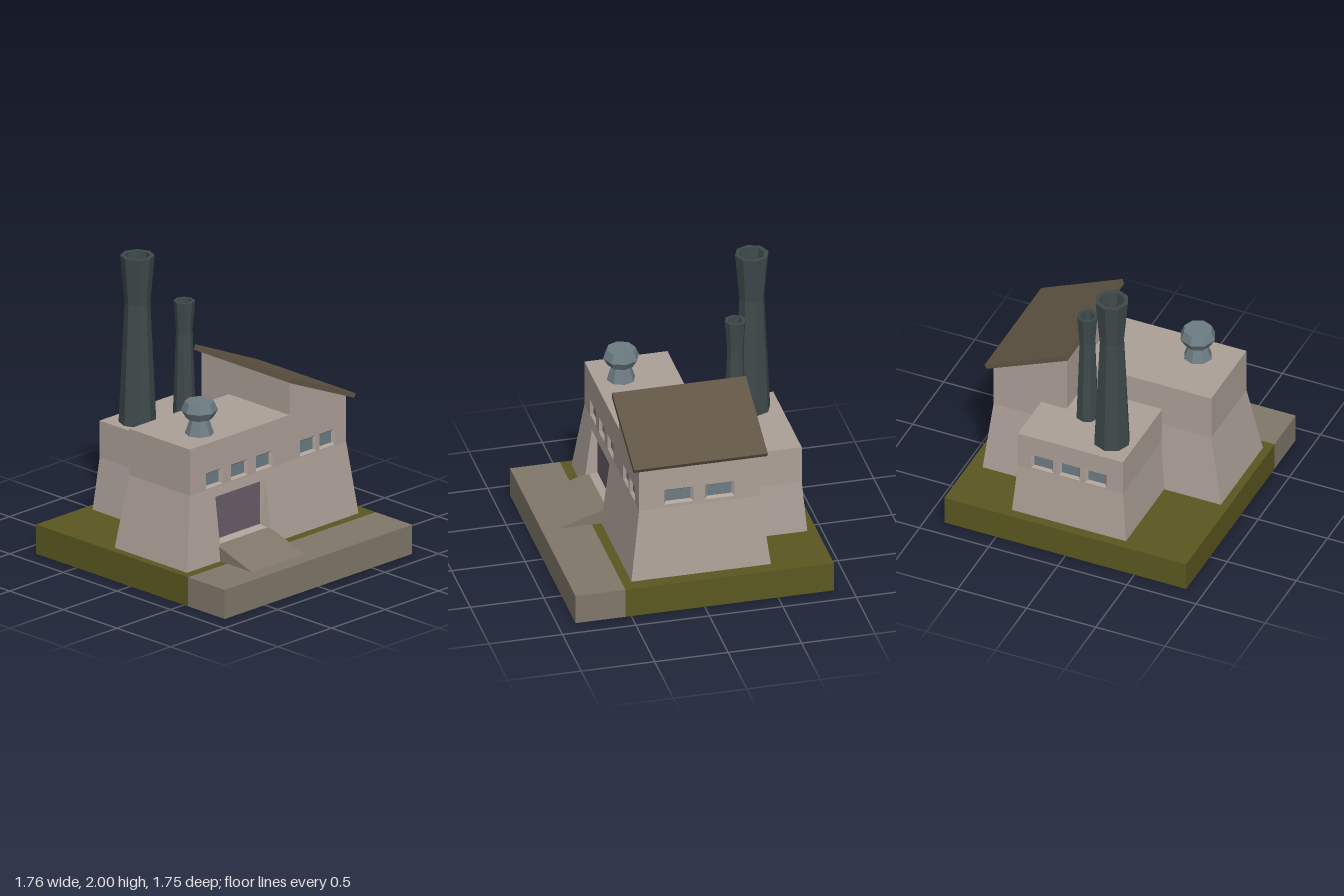
import * as THREE from 'three';

const mat = (name, color, side = THREE.FrontSide) => {
  const m = new THREE.MeshStandardMaterial({ color, side, flatShading: true });
  m.name = name;
  return m;
};

export function createModel() {
  const D = THREE.DoubleSide;
  const grass = mat('grass', 0x5b5821);
  const paving = mat('paving', 0x81786a);
  const plaster = mat('plaster', 0xada198, D);
  const roofing = mat('roofing', 0x615544);
  const iron = mat('iron', 0x3e4a4b, D);
  const steelBlue = mat('steel blue', 0x6d7d83, D);
  const doorPaint = mat('door purple', 0x695e69, D);

  const group = new THREE.Group();
  group.name = 'factory';
  const add = (name, geo, material) => {
    const m = new THREE.Mesh(geo, material);
    m.name = name;
    group.add(m);
    return m;
  };

  // Flat four-sided faces, each given as four corners
  const faces = (name, list, material) => {
    const pos = [];
    for (const [a, b, c, d] of list) pos.push(...a, ...b, ...c, ...a, ...c, ...d);
    const g = new THREE.BufferGeometry();
    g.setAttribute('position', new THREE.Float32BufferAttribute(pos, 3));
    g.computeVertexNormals();
    return add(name, g, material);
  };

  const corners = ([u0, u1, v0, v1]) => [[u0, v0], [u1, v0], [u1, v1], [u0, v1]];

  // Wall panel drawn in (u, height) with rectangular openings; place() puts it in space
  const panel = (name, outline, openings, place) => {
    const shape = new THREE.Shape(outline.map(p => new THREE.Vector2(...p)));
    for (const o of openings)
      shape.holes.push(new THREE.Path(corners(o).reverse().map(p => new THREE.Vector2(...p))));
    const g = new THREE.ShapeGeometry(shape);
    const p = g.attributes.position;
    for (let i = 0; i < p.count; i++) p.setXYZ(i, ...place(p.getX(i), p.getY(i), 0));
    g.computeVertexNormals();
    add(name, g, plaster);
  };

  // Tapered reveal with a pane at its back
  const recess = (name, o, inner, depth, place, placeInner, material) => {
    const a = corners(o).map(([u, v]) => place(u, v, 0));
    const b = corners(inner).map(([u, v]) => placeInner(u, v, depth));
    faces(name + 'Reveal', a.map((p, i) => [p, a[(i + 1) % 4], b[(i + 1) % 4], b[i]]), plaster);
    faces(name, [b], material);
  };
  const windows = (list, place) => list.forEach(o => {
    const e = 0.015;
    recess('window', o, [o[0] + e, o[1] - e, o[2] + e, o[3] - e], 0.02, place, place, steelBlue);
  });

  // Ground slab and road
  const G = 0.205, BEND = 0.705, TOP = 1.03;
  add('ground', new THREE.BoxGeometry(1.42, G, 1.75), grass).position.set(-0.17, G / 2, 0);
  add('road', new THREE.BoxGeometry(0.34, G, 1.75), paving).position.set(0.71, G / 2, 0);

  // Right wall, shared by the main hall and the rear hall
  const rightX = v => (v >= BEND ? 0.41 : 0.41 + 0.065 * (BEND - v) / (BEND - G));
  const right = (u, v, d) => [rightX(v) - d, v, u];
  const rightWindows = [[0.425, 0.58], [0.19, 0.345], [-0.04, 0.11], [-0.45, -0.3], [-0.625, -0.48]]
    .map(([a, b]) => [a, b, 0.712, 0.823]);
  panel('rightWallUpper', [[-0.73, BEND], [0.73, BEND], [0.73, TOP], [-0.2, TOP], [-0.2, 1.265], [-0.73, 1.035]],
    rightWindows, right);
  windows(rightWindows, right);
  const doorway = [0.03, 0.5, 0.3, 0.64];
  panel('rightWallLower', [[-0.78, G], [0.82, G], [0.73, BEND], [-0.73, BEND]], [doorway], right);
  recess('door', doorway, [0.05, 0.483, 0.325, 0.625], 0, right, (u, v) => [0.385, v, u], doorPaint);

  // Main hall: front, left side and flat roof
  faces('mainHall', [
    [[-0.2, G, 0.82], [0.475, G, 0.82], [0.41, BEND, 0.73], [-0.155, BEND, 0.73]],
    [[-0.155, BEND, 0.73], [0.41, BEND, 0.73], [0.41, TOP, 0.73], [-0.155, TOP, 0.73]],
    [[-0.2, G, -0.2], [-0.2, G, 0.82], [-0.155, BEND, 0.73], [-0.155, BEND, -0.2]],
    [[-0.155, BEND, -0.2], [-0.155, BEND, 0.73], [-0.155, TOP, 0.73], [-0.155, TOP, -0.2]],
    [[-0.155, TOP, 0.73], [0.41, TOP, 0.73], [0.41, TOP, -0.2], [-0.155, TOP, -0.2]],
  ], plaster);

  // Rear hall: gable front, left side and windowed back
  faces('rearHall', [
    [[-0.41, BEND, -0.2], [0.41, BEND, -0.2], [0.41, 1.265, -0.2], [-0.41, 1.265, -0.2]],
    [[-0.475, G, -0.78], [-0.475, G, -0.2], [-0.41, BEND, -0.2], [-0.41, BEND, -0.73]],
    [[-0.41, BEND, -0.73], [-0.41, BEND, -0.2], [-0.41, 1.265, -0.2], [-0.41, 1.035, -0.73]],
    [[0.475, G, -0.78], [-0.475, G, -0.78], [-0.41, BEND, -0.73], [0.41, BEND, -0.73]],
  ], plaster);
  const back = (u, v, d) => [-u, v, -0.73 + d];
  const backWindows = [[-0.24, -0.04, 0.73, 0.84], [0.04, 0.24, 0.73, 0.84]];
  panel('backWallUpper', corners([-0.41, 0.41, BEND, 1.035]), backWindows, back);
  windows(backWindows, back);

  // Sloping roof slab
  const roofShape = new THREE.Shape([[0.175, 1.27], [0.76, 1.017], [0.775, 1.045], [0.185, 1.307]]
    .map(p => new THREE.Vector2(...p)));
  const roof = new THREE.ExtrudeGeometry(roofShape, { depth: 0.91, bevelEnabled: false });
  roof.translate(0, 0, -0.455).rotateY(Math.PI / 2);
  add('slopingRoof', roof, roofing);

  // Low side wing on the left of the front view
  const LB = 0.57, LT = 0.83;
  faces('sideWing', [
    [[-0.815, G, 0.41], [-0.16, G, 0.41], [-0.15, LB, 0.375], [-0.785, LB, 0.375]],
    [[-0.785, LB, 0.375], [-0.15, LB, 0.375], [-0.15, LT, 0.375], [-0.785, LT, 0.375]],
    [[-0.3, G, -0.415], [-0.815, G, -0.415], [-0.785, LB, -0.385], [-0.3, LB, -0.385]],
    [[-0.3, LB, -0.385], [-0.785, LB, -0.385], [-0.785, LT, -0.385], [-0.3, LT, -0.385]],
    [[-0.815, G, -0.415], [-0.815, G, 0.41], [-0.785, LB, 0.375], [-0.785, LB, -0.385]],
    [[-0.785, LT, 0.375], [-0.15, LT, 0.375], [-0.15, LT, -0.385], [-0.785, LT, -0.385]],
  ], plaster);
  const left = (u, v, d) => [-0.785 + d, v, u];
  const leftWindows = [[-0.29, -0.13], [-0.09, 0.065], [0.1, 0.255]].map(([a, b]) => [a, b, 0.577, 0.685]);
  panel('sideWingWall', corners([-0.385, 0.375, LB, LT]), leftWindows, left);
  windows(leftWindows, left);

  // Loading ramp up to the door
  const rampShape = new THREE.Shape([[0.39, 0.2], [0.77, 0.204], [0.46, 0.305], [0.39, 0.315]]
    .map(p => new THREE.Vector2(...p)));
  const ramp = new THREE.ExtrudeGeometry(rampShape, { depth: 0.49, bevelEnabled: false });
  add('ramp', ramp, paving).position.z = 0.02;

  // Eight-sided chimneys and roof vent
  const turned = (name, profile, x, z, material) =>
    add(name, new THREE.LatheGeometry(profile.map(p => new THREE.Vector2(...p)), 8), material)
      .position.set(x, 0, z);
  turned('largeChimney', [[0.125, 0.82], [0.085, 1.67], [0.115, 2], [0.085, 2], [0.06, 1.67], [0, 1.67]],
    -0.597, 0.21, iron);
  turned('smallChimney', [[0.077, 0.82], [0.055, 1.45], [0.072, 1.66], [0.05, 1.66], [0.036, 1.45], [0, 1.45]],
    -0.418, -0.048, iron);
  turned('roofVent', [[0.1, 1.02], [0.06, 1.14], [0.09, 1.14], [0.122, 1.195], [0.097, 1.255], [0, 1.255]],
    0.23, 0.46, steelBlue);

  return group;
}
